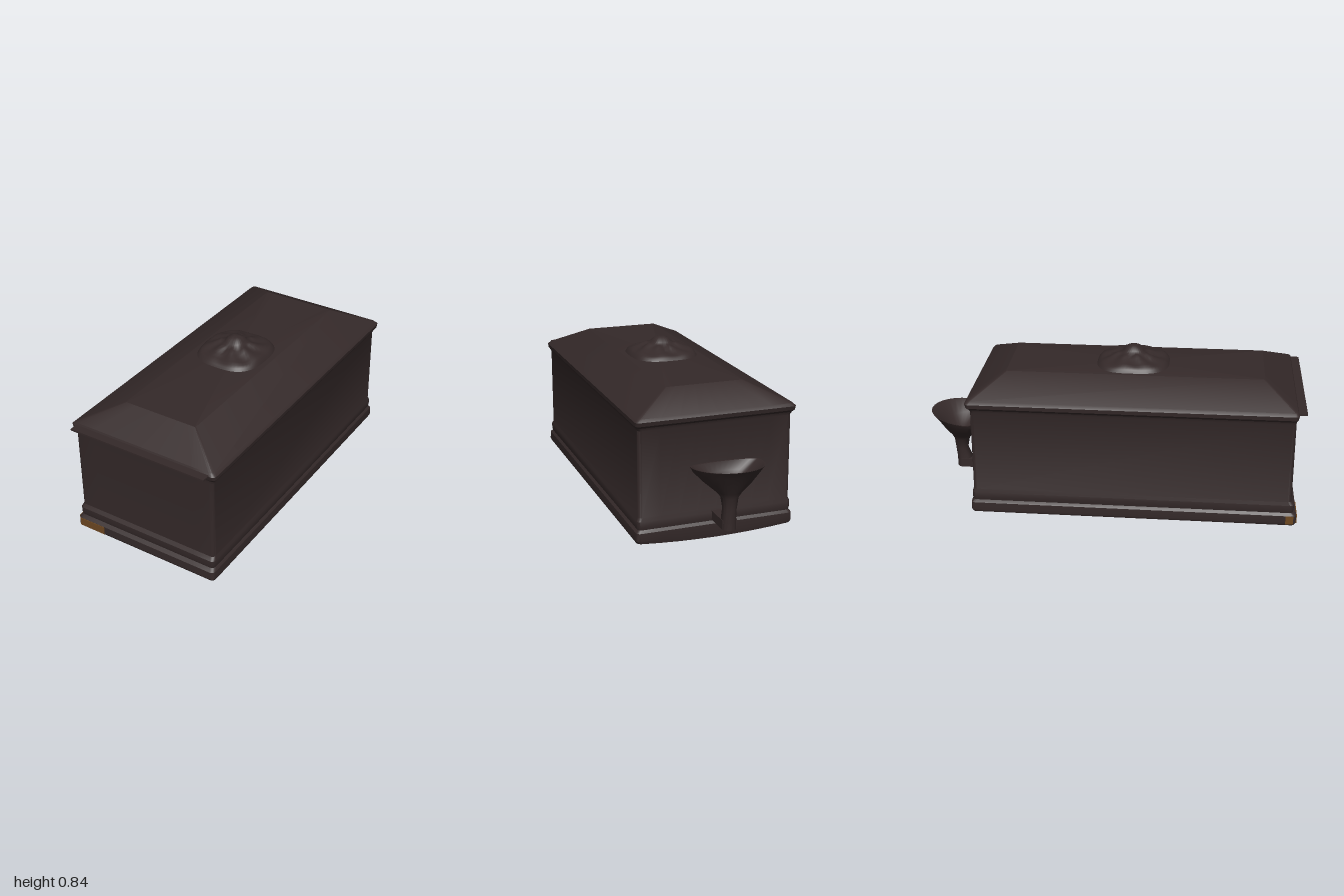
import * as THREE from 'three';
import { toCreasedNormals } from 'three/addons/utils/BufferGeometryUtils.js';

// Skin a stack of closed rings (listed bottom to top, equal point counts).
function loft(rings, crease = 0.5) {
  const n = rings[0].length, index = [];
  for (let i = 0; i < rings.length - 1; i++) {
    for (let j = 0; j < n; j++) {
      const a = i * n + j, b = i * n + (j + 1) % n;
      index.push(a, a + n, b, b, a + n, b + n);
    }
  }
  const geo = new THREE.BufferGeometry();
  geo.setAttribute('position', new THREE.Float32BufferAttribute(rings.flat(2), 3));
  geo.setIndex(index);
  return toCreasedNormals(geo, crease);
}

// Height of the slightly bowed underside.
function sag(x, z) {
  const t = (z + 0.72) / 1.7;
  return 0.02 - 0.02 * (1 - (x / 0.41) ** 2) * (1 - t);
}

// Rectangle with rounded corners; front and back edges are subdivided.
function rectRing(y, hx, zf, zb, r = 0.02) {
  const pts = [], edge = 8;
  const height = (x, z) => (y === null ? sag(x, z) : y);
  const corners = [[hx - r, zf - r], [-hx + r, zf - r], [-hx + r, zb + r], [hx - r, zb + r]];
  corners.forEach(([cx, cz], q) => {
    for (let k = 0; k <= 4; k++) {
      const a = (q + k / 4) * Math.PI / 2;
      const x = cx + r * Math.cos(a), z = cz + r * Math.sin(a);
      pts.push([x, height(x, z), z]);
    }
    if (q % 2 === 0) {
      const z = q === 0 ? zf : zb, next = corners[q + 1][0];
      for (let k = 1; k < edge; k++) {
        const x = cx + (next - cx) * k / edge;
        pts.push([x, height(x, z), z]);
      }
    }
  });
  return pts;
}

// Half-round funnel section: blunt towards the box, round behind.
function funnelRing([y, zc, rx, back, front, tilt = 0]) {
  return Array.from({ length: 32 }, (_, j) => {
    const a = j / 32 * Math.PI * 2, s = Math.sin(a);
    const dz = s > 0 ? front * s ** 0.6 : back * s;
    return [-0.015 + rx * Math.cos(a), y - tilt * dz, zc + dz];
  });
}

export function createModel() {
  const model = new THREE.Group();
  const brown = new THREE.MeshStandardMaterial({ color: 0x342929 });
  brown.name = 'dark brown';
  const ochre = new THREE.MeshStandardMaterial({ color: 0x6c4721 });
  ochre.name = 'ochre brown';
  const tan = new THREE.MeshStandardMaterial({ color: 0x80603c });
  tan.name = 'tan';

  const add = (name, geo, mat, x = 0, y = 0, z = 0) => {
    const mesh = new THREE.Mesh(geo, mat);
    mesh.name = name;
    mesh.position.set(x, y, z);
    model.add(mesh);
    return mesh;
  };

  // Walls with base moulding
  add('body', loft([
    rectRing(null, 0.410, 0.974, -0.716),
    rectRing(0.032, 0.415, 0.981, -0.722),
    rectRing(0.074, 0.413, 0.980, -0.722),
    rectRing(0.088, 0.403, 0.962, -0.712),
    rectRing(0.102, 0.406, 0.966, -0.715),
    rectRing(0.132, 0.407, 0.966, -0.715),
    rectRing(0.150, 0.400, 0.952, -0.708),
    rectRing(0.590, 0.400, 0.948, -0.705),
    rectRing(0.605, 0.406, 0.950, -0.712),
  ]), brown);

  // Hipped lid with a rounded eave and flat top
  add('lid', loft([
    rectRing(0.605, 0.406, 0.950, -0.712),
    rectRing(0.617, 0.415, 0.956, -0.724),
    rectRing(0.638, 0.417, 0.960, -0.730),
    rectRing(0.652, 0.402, 0.952, -0.718),
    rectRing(0.745, 0.203, 0.790, -0.545, 0.006),
    rectRing(0.745, 0, 0.122, 0.122, 0),
  ], 0.4), brown);
  add('frontLip', new THREE.BoxGeometry(0.77, 0.009, 0.06), brown, 0, 0.639, 0.97);

  // Bowed underside
  const under = new THREE.PlaneGeometry(0.818, 1.688, 12, 8);
  under.rotateX(Math.PI / 2).translate(0, 0, 0.129);
  const up = under.attributes.position;
  for (let i = 0; i < up.count; i++) up.setY(i, sag(up.getX(i), up.getZ(i)));
  under.computeVertexNormals();
  add('underside', under, ochre);

  // Small marks in two rows underneath
  const dot = new THREE.CylinderGeometry(0.009, 0.009, 0.004, 10);
  for (const x of [0.06, -0.13]) {
    for (let i = 0; i < 6; i++) {
      const z = -0.2 + i * 0.15;
      add('undersideMark', dot, tan, x, sag(x, z), z);
    }
  }

  // Bare patch at the front corner of the base
  add('frontPatch', new THREE.BoxGeometry(0.15, 0.044, 0.008), ochre, -0.323, 0.051, 0.98);
  add('sidePatch', new THREE.BoxGeometry(0.008, 0.044, 0.04), ochre, -0.413, 0.051, 0.945);

  // Carved rosette: lobed rings around a central knob
  const profile = [[1, 0], [0.95, 0.018], [0.88, 0.03], [0.78, 0.036], [0.66, 0.042], [0.54, 0.052],
    [0.42, 0.061], [0.33, 0.064], [0.27, 0.074], [0.2, 0.088], [0.1, 0.094], [0, 0.095]];
  add('rosette', loft(profile.map(([r, h]) => Array.from({ length: 64 }, (_, j) => {
    const a = j / 64 * Math.PI * 2;
    const radius = r * (0.19 + 0.01 * Math.cos(4 * a + Math.PI));
    const ripple = r > 0.35 && r < 1 ? 0.007 * Math.cos(8 * a + r * 5) * Math.sin(r * Math.PI) : 0;
    const low = 1 - 0.3 * r * Math.abs(Math.sin(a));
    return [radius * Math.cos(a), 0.744 + (h + ripple) * low, radius * Math.sin(a) * 1.06];
  })), 1.2), brown, -0.005, 0, 0.105);

  // Rear funnel: stem, flared bowl, slanted rim and hollow inside
  add('funnel', loft([
    [0.092, -0.842, 0, 0, 0],
    [0.092, -0.842, 0.036, 0.033, 0.035],
    [0.15, -0.840, 0.034, 0.036, 0.045],
    [0.20, -0.847, 0.034, 0.034, 0.032],
    [0.26, -0.845, 0.043, 0.041, 0.042],
    [0.29, -0.835, 0.068, 0.066, 0.058],
    [0.34, -0.815, 0.125, 0.120, 0.076],
    [0.385, -0.800, 0.168, 0.166, 0.070, 0.05],
    [0.412, -0.800, 0.182, 0.200, 0.066, 0.11],
    [0.411, -0.800, 0.174, 0.190, 0.058, 0.11],
    [0.36, -0.812, 0.120, 0.115, 0.058],
    [0.315, -0.832, 0.045, 0.045, 0.035],
    [0.305, -0.835, 0, 0, 0],
  ].map(funnelRing), 0.7), brown);
  add('funnelFoot', new THREE.BoxGeometry(0.075, 0.048, 0.15), brown, -0.015, 0.117, -0.775);

  return model;
}
